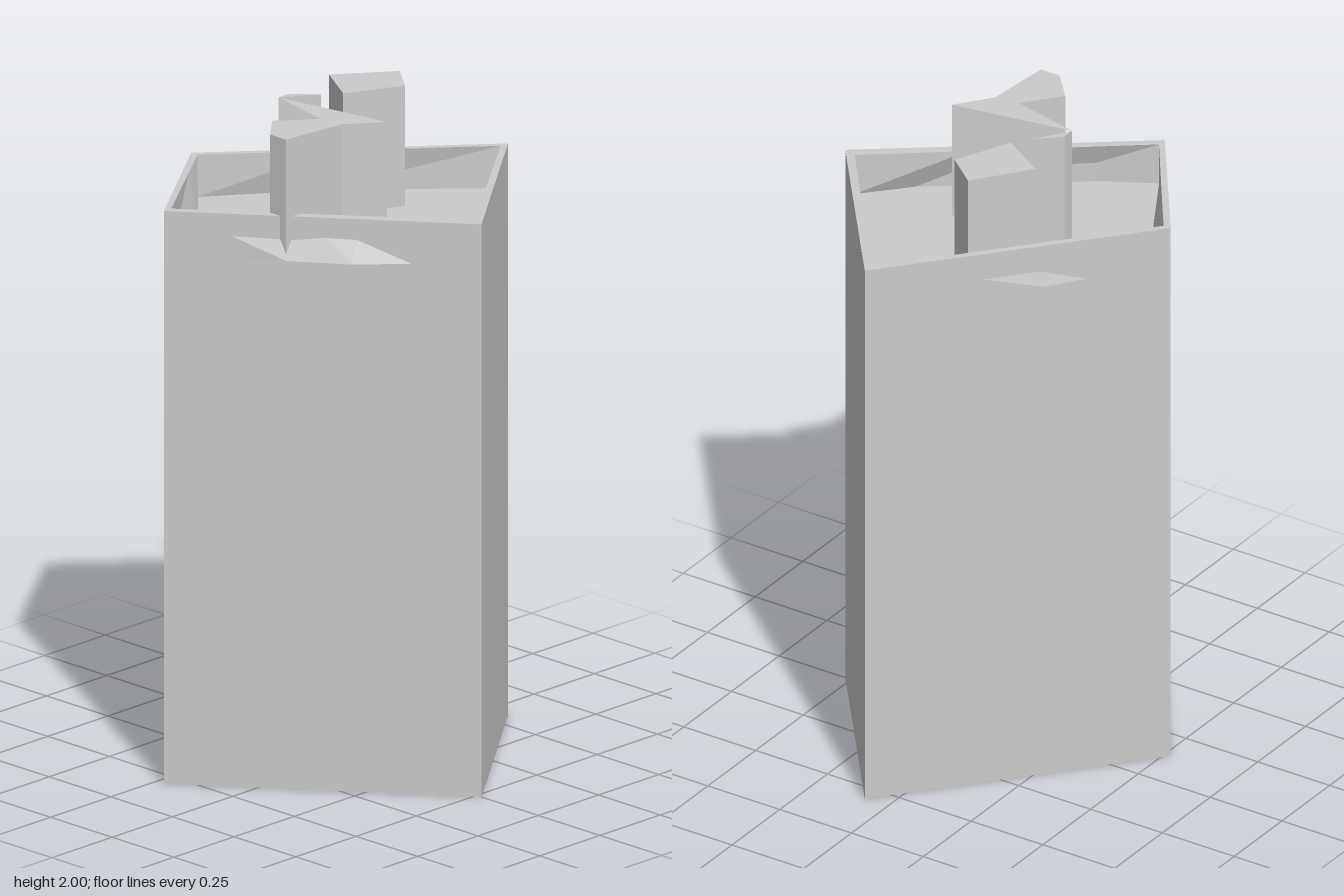
import * as THREE from 'three';

const TOP = 1.76, FLOOR = 1.63, PEAK = 2;
const material = new THREE.MeshStandardMaterial({ color: 0xcccccc, flatShading: true, side: THREE.DoubleSide });

// Plan points are [x, z]
const toShape = (pts) => new THREE.Shape(pts.map(([x, z]) => new THREE.Vector2(x, -z)));

// Flat horizontal face at height y, facing up
function slab(shape, y) {
  return new THREE.ShapeGeometry(shape).rotateX(-Math.PI / 2).translate(0, y, 0);
}

// Vertical prism over a plan outline
function prism(pts, y0, y1) {
  return new THREE.ExtrudeGeometry(toShape(pts), { depth: y1 - y0, bevelEnabled: false })
    .rotateX(-Math.PI / 2).translate(0, y0, 0);
}

// Band of wall joining two closed plan rings at two heights
function wallBand(low, y0, high, y1) {
  const pos = [];
  low.forEach((p, i) => {
    const j = (i + 1) % low.length;
    const q = low[j], r = high[i], s = high[j];
    pos.push(q[0], y0, q[1], p[0], y0, p[1], r[0], y1, r[1]);
    pos.push(q[0], y0, q[1], r[0], y1, r[1], s[0], y1, s[1]);
  });
  const g = new THREE.BufferGeometry();
  g.setAttribute('position', new THREE.Float32BufferAttribute(pos, 3));
  g.computeVertexNormals();
  return g;
}

export function createModel() {
  const model = new THREE.Group();
  model.name = 'towerBlock';
  const add = (name, geometry) => {
    const mesh = new THREE.Mesh(geometry, material);
    mesh.name = name;
    model.add(mesh);
  };

  const outer = [[-0.14, -0.52], [0.56, 0.08], [0, 0.52], [-0.56, -0.22]];
  // Inner parapet edge, and the uneven roof deck edge below it
  const rim = [[-0.14, -0.495], [0.16, -0.237], [0.53, 0.08], [0.01, 0.48],
    [-0.19, 0.22], [-0.3, 0.078], [-0.53, -0.22], [-0.27, -0.403]];
  const deck = rim.map((p) => [...p]);
  deck[1] = [0.16, -0.277];
  deck[4] = [-0.25, 0.24];
  deck[5] = [-0.36, 0.08];
  deck[7] = [-0.26, -0.375];

  // Main body
  add('outerWalls', wallBand(outer, 0, outer, TOP));
  add('base', slab(toShape(outer), 0).scale(1, -1, 1));
  model.getObjectByName('base').geometry.index.array.reverse();
  model.getObjectByName('base').geometry.computeVertexNormals();

  // Parapet and sunken roof
  const cap = toShape(outer);
  cap.holes.push(toShape(rim));
  add('parapetTop', slab(cap, TOP));
  add('parapetInnerWalls', wallBand([...deck].reverse(), FLOOR, [...rim].reverse(), TOP));
  add('roofDeck', slab(toShape(deck), FLOOR));

  // Rooftop structures
  add('rightRoofBlock', prism([[0.14, -0.235], [0.305, -0.11], [0.225, -0.01], [0.05, -0.09]], FLOOR, PEAK));
  add('leftRoofBlock', prism([[-0.355, 0.01], [-0.265, -0.07], [-0.155, 0.02],
    [-0.04, 0.175], [-0.145, 0.095], [-0.3, 0.08], [-0.355, 0.075]], FLOOR, PEAK));
  add('roofCanopy', slab(toShape([[-0.155, 0.02], [-0.105, -0.2], [-0.04, 0.175]]), PEAK));
  add('roofFin', prism([[-0.105, -0.2], [-0.065, -0.2], [0, -0.13]], FLOOR, PEAK));

  return model;
}
